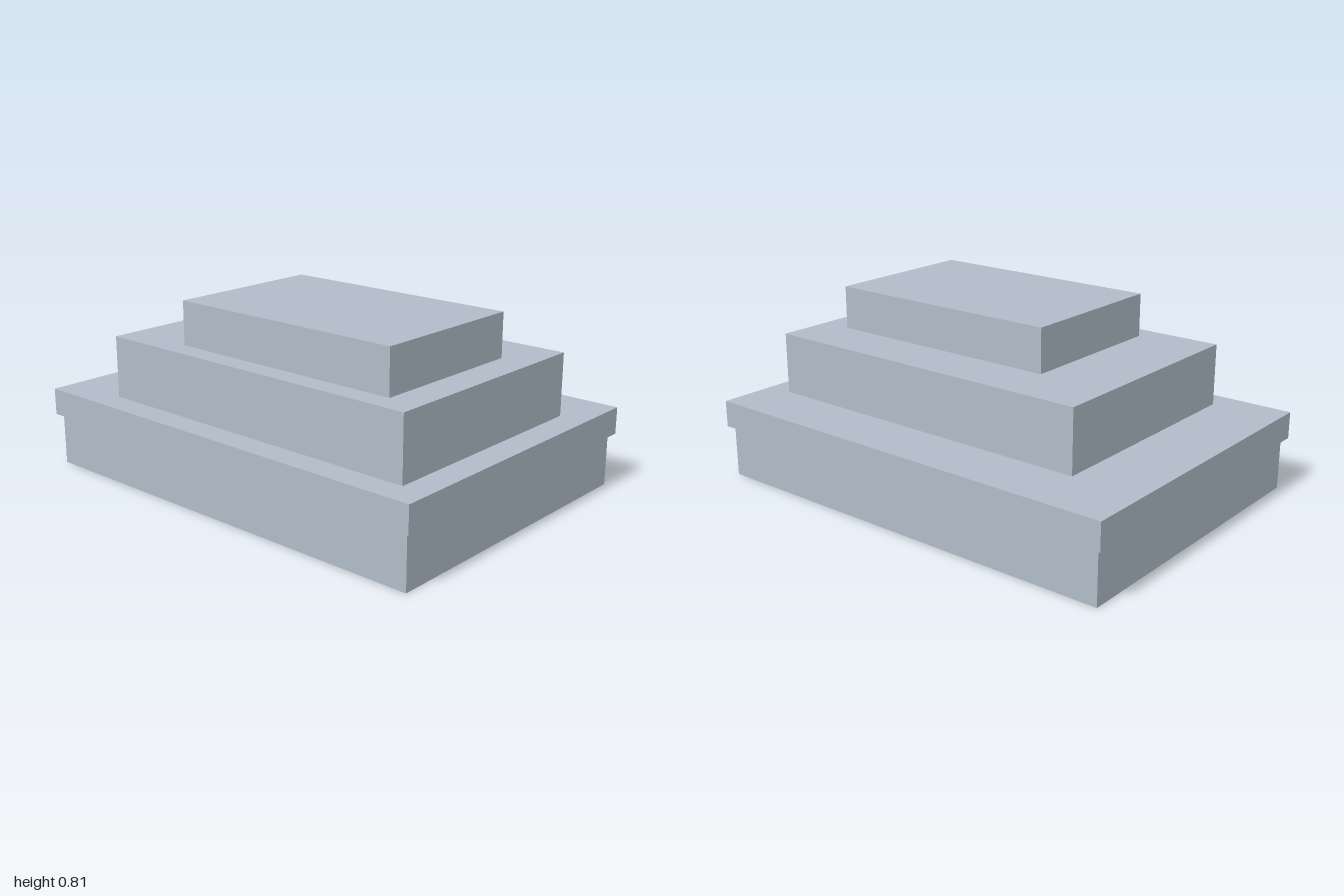
import * as THREE from 'three';

export function createModel() {
  const group = new THREE.Group();
  const slate = new THREE.MeshStandardMaterial({ color: 0xb0bcc8 });
  slate.name = 'blueGrey';

  // A block given by its extents along each axis
  const block = (name, [x0, x1], [y0, y1], [z0, z1]) => {
    const mesh = new THREE.Mesh(new THREE.BoxGeometry(x1 - x0, y1 - y0, z1 - z0), slate);
    mesh.position.set((x0 + x1) / 2, (y0 + y1) / 2, (z0 + z1) / 2);
    mesh.name = name;
    group.add(mesh);
  };

  // Stacked tiers, from the ground up
  block('base', [-0.69, 0.69], [0, 0.23], [-0.977, 0.977]);
  block('overhangingSlab', [-0.713, 0.713], [0.23, 0.348], [-1, 1]);
  block('middleTier', [-0.598, 0.452], [0.348, 0.62], [-0.69, 0.88]);
  block('topTier', [-0.502, 0.212], [0.62, 0.811], [-0.358, 0.738]);

  return group;
}
